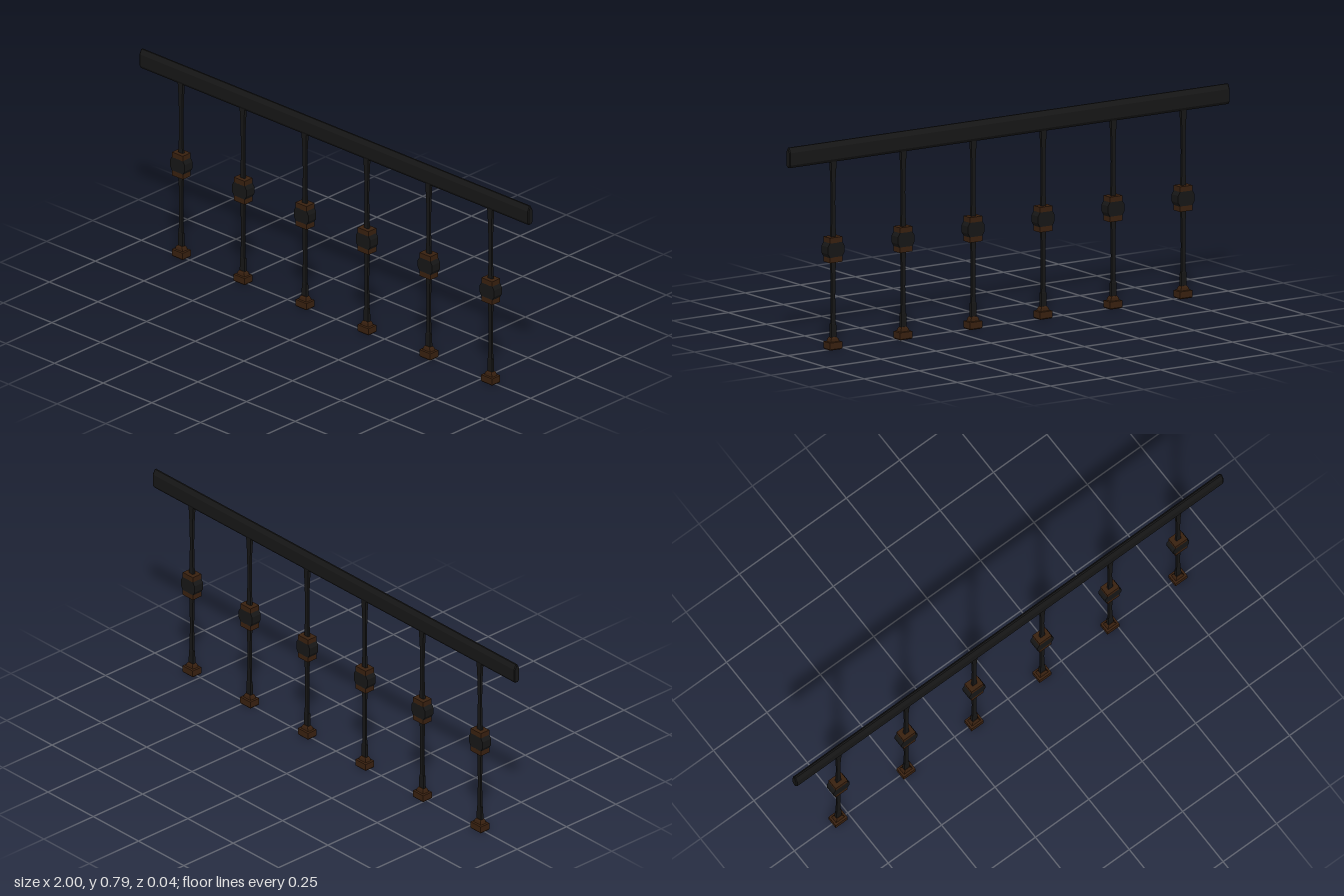
import * as THREE from 'three';

const iron = new THREE.MeshStandardMaterial({ color: 0x161616, flatShading: true });
const bronze = new THREE.MeshStandardMaterial({ color: 0x38200f, flatShading: true });

// Rectangular sections [y, halfX, halfZ] stacked upward into one closed solid
function stack(sections) {
  const pos = [];
  const ring = ([y, hx, hz]) => [[hx, y, hz], [hx, y, -hz], [-hx, y, -hz], [-hx, y, hz]];
  const quad = (a, b, c, d) => pos.push(...a, ...b, ...c, ...a, ...c, ...d);
  const rings = sections.map(ring);
  for (let i = 0; i < rings.length - 1; i++) {
    for (let j = 0; j < 4; j++) {
      const k = (j + 1) % 4;
      quad(rings[i][j], rings[i][k], rings[i + 1][k], rings[i + 1][j]);
    }
  }
  const [a, b, c, d] = rings[0];
  quad(d, c, b, a);
  quad(...rings[rings.length - 1]);
  const geo = new THREE.BufferGeometry();
  geo.setAttribute('position', new THREE.Float32BufferAttribute(pos, 3));
  geo.computeVertexNormals();
  return geo;
}

function part(name, geometry, material) {
  const mesh = new THREE.Mesh(geometry, material);
  mesh.name = name;
  return mesh;
}

// Handrail: peaked section swept along x with lightly bevelled ends
function handrailGeometry() {
  const half = [[0.006, 0.716], [0.013, 0.727], [0.013, 0.774], [0.003, 0.793]];
  const outline = [...half, ...half.slice().reverse().map(([z, y]) => [-z, y])];
  const shape = new THREE.Shape(outline.map(([z, y]) => new THREE.Vector2(z, y)));
  const geo = new THREE.ExtrudeGeometry(shape, {
    depth: 1.992, bevelEnabled: true, bevelThickness: 0.004,
    bevelSize: 0.003, bevelOffset: -0.003, bevelSegments: 1,
  });
  return geo.translate(0, 0, -0.996).rotateY(Math.PI / 2);
}

export function createModel() {
  const model = new THREE.Group();
  model.name = 'railing';
  model.add(part('handrail', handrailGeometry(), iron));

  // Shared baluster parts
  const foot = stack([
    [0, 0.025, 0.019], [0.004, 0.028, 0.022], [0.029, 0.028, 0.022],
    [0.03, 0.02, 0.014], [0.041, 0.016, 0.012], [0.047, 0.011, 0.008],
  ]);
  const lowerShaft = stack([
    [0.04, 0.012, 0.0065], [0.098, 0.011, 0.0055], [0.1, 0.009, 0.0045],
    [0.2, 0.0075, 0.004], [0.29, 0.0085, 0.0045], [0.345, 0.011, 0.0055],
  ]);
  const upperShaft = stack([
    [0.42, 0.011, 0.0055], [0.48, 0.0085, 0.0045], [0.56, 0.0075, 0.004],
    [0.65, 0.009, 0.005], [0.72, 0.0125, 0.0065],
  ]);
  const collar = new THREE.BoxGeometry(0.056, 0.021, 0.043);
  const knuckle = stack([
    [0.354, 0.028, 0.0215], [0.369, 0.037, 0.0215],
    [0.396, 0.037, 0.0215], [0.41, 0.028, 0.0215],
  ]);

  // Six evenly spaced balusters
  for (let i = 0; i < 6; i++) {
    const baluster = new THREE.Group();
    baluster.name = 'baluster';
    const lowerCollar = part('lowerCollar', collar, bronze);
    const upperCollar = part('upperCollar', collar, bronze);
    lowerCollar.position.y = 0.3445;
    upperCollar.position.y = 0.4195;
    baluster.add(
      part('foot', foot, bronze),
      part('lowerShaft', lowerShaft, iron),
      lowerCollar,
      part('knuckle', knuckle, iron),
      upperCollar,
      part('upperShaft', upperShaft, iron),
    );
    baluster.position.x = (i - 2.5) * 0.318;
    model.add(baluster);
  }
  return model;
}
